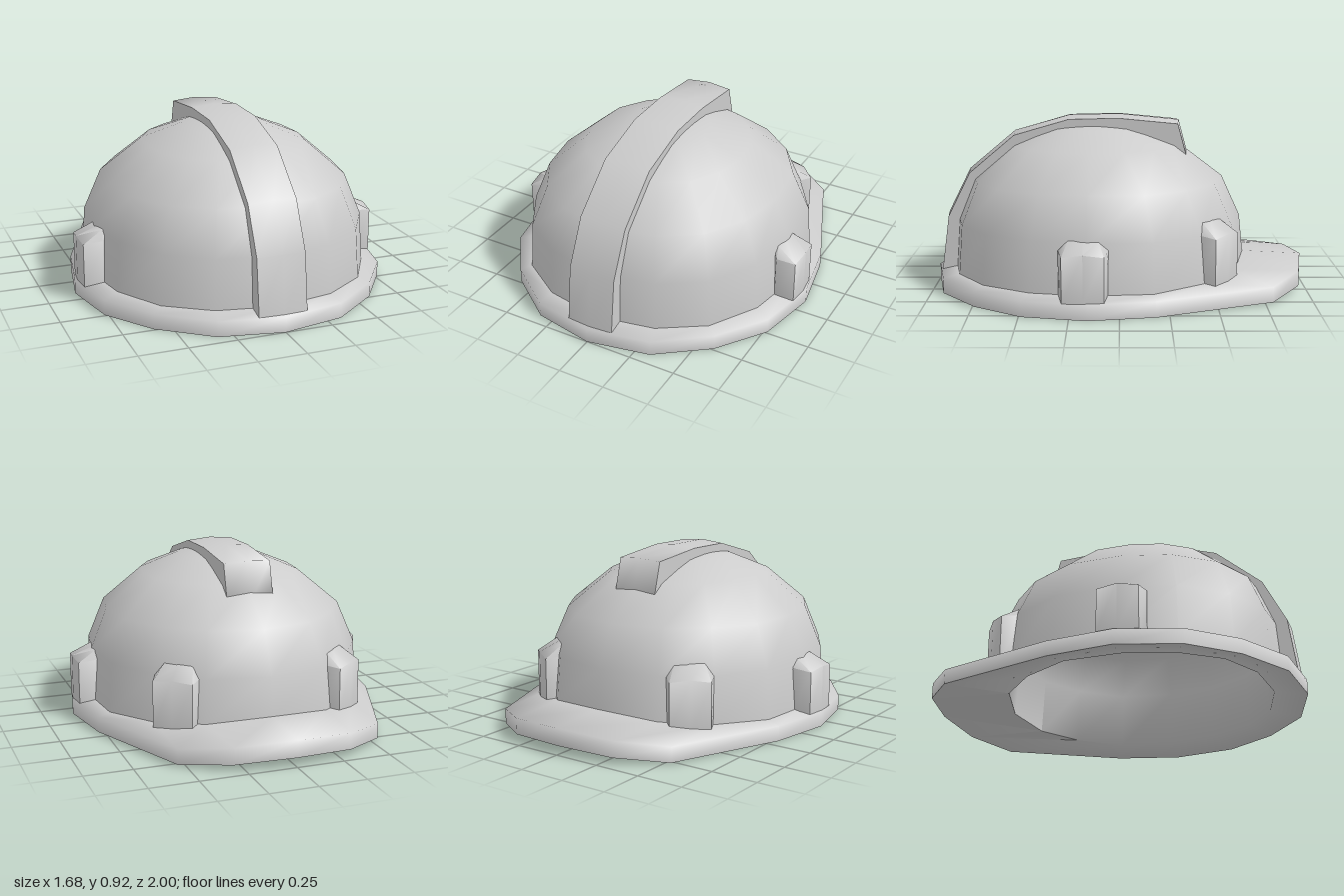
import * as THREE from 'three';
import { toCreasedNormals } from 'three/addons/utils/BufferGeometryUtils.js';

const shellGrey = new THREE.MeshStandardMaterial({ color: 0xcccccc, side: THREE.DoubleSide });
shellGrey.name = 'shell grey';

// Skin a list of rings; rings run front -> left -> back, so rising rings face outward
function loft(rings, crease, { closed = true, capStart = false, capEnd = false } = {}) {
  const pos = [];
  const tri = (a, b, c) => {
    const area = b.clone().sub(a).cross(c.clone().sub(a)).length();
    if (area > 1e-8) for (const p of [a, b, c]) pos.push(p.x, p.y, p.z);
  };
  const n = rings[0].length;
  for (let i = 0; i < rings.length - 1; i++) {
    for (let j = 0; j < (closed ? n : n - 1); j++) {
      const k = (j + 1) % n;
      const [a, b, c, d] = [rings[i][j], rings[i][k], rings[i + 1][k], rings[i + 1][j]];
      tri(a, b, c);
      tri(a, c, d);
    }
  }
  const first = rings[0], last = rings[rings.length - 1];
  for (let j = 1; j < n - 1; j++) {
    if (capStart) tri(first[0], first[j + 1], first[j]);
    if (capEnd) tri(last[0], last[j], last[j + 1]);
  }
  const g = new THREE.BufferGeometry();
  g.setAttribute('position', new THREE.Float32BufferAttribute(pos, 3));
  return toCreasedNormals(g, crease);
}

// Half outlines (x, z) from front centre to back centre, with a height per point
const brimHalf = [[0, 1], [0.33, 0.935], [0.59, 0.74], [0.77, 0.49], [0.84, 0.16], [0.78, -0.18], [0.54, -0.79], [0.31, -0.95], [0, -1]];
const domeHalf = [[0, 0.91], [0.31, 0.85], [0.54, 0.7], [0.69, 0.45], [0.745, 0.16], [0.715, -0.17], [0.55, -0.43], [0.33, -0.61], [0, -0.68]];
const brimTop = [0.08, 0.08, 0.08, 0.08, 0.08, 0.08, 0.09, 0.12, 0.14];
const brimBottom = [0, 0, 0, 0, 0, 0, 0.01, 0.035, 0.05];
const domeFoot = [0.1, 0.1, 0.1, 0.1, 0.1, 0.1, 0.11, 0.13, 0.155];
const CZ = 0.16;

// Mirror a half outline into a full ring, scaled about the dome axis
function ring(half, y, s = 1) {
  const pts = half.map(([x, z], i) => new THREE.Vector3(x * s, Array.isArray(y) ? y[i] : y, CZ + (z - CZ) * s));
  const mirrored = pts.slice(1, -1).reverse().map((p) => new THREE.Vector3(-p.x, p.y, p.z));
  return [...pts, ...mirrored];
}

const domeSteps = [[0.975, 0.36], [0.855, 0.58], [0.57, 0.762], [0.29, 0.85], [0, 0.885]];

// Raised lug: rounded post with its foot in the dome and a roof sloping outward
function lugGeometry(bottom, shoulder, peak) {
  const plan = [[0, 0.1], [0.105, 0.088], [0.125, -0.01], [0.075, -0.05], [-0.075, -0.05], [-0.125, -0.01], [-0.105, 0.088]];
  const roof = [shoulder, shoulder - 0.015, shoulder, peak, peak, shoulder, shoulder - 0.015];
  const foot = plan.map(([x, z]) => new THREE.Vector3(x, bottom, z));
  const top = plan.map(([x, z], i) => new THREE.Vector3(x, roof[i], z));
  const ridge = plan.map(([x]) => new THREE.Vector3(THREE.MathUtils.clamp(x, -0.075, 0.075), peak, -0.02));
  return loft([foot, top, ridge], 1.2, { capStart: true });
}

export function createModel() {
  const model = new THREE.Group();
  model.name = 'hardHat';
  const add = (name, geometry) => {
    const mesh = new THREE.Mesh(geometry, shellGrey);
    mesh.name = name;
    model.add(mesh);
    return mesh;
  };

  // Outer dome
  add('dome', loft([ring(domeHalf, domeFoot), ...domeSteps.map(([s, y]) => ring(domeHalf, y, s))], 0.7));

  // Brim: outer wall with a softly shaded sloping top
  const bottomEdge = ring(brimHalf, brimBottom);
  add('brim', loft([bottomEdge, ring(brimHalf, brimTop), ring(domeHalf, domeFoot)], 2));

  // Thick-walled hollow, running smoothly into the underside of the brim
  const inside = domeSteps.map(([s, y]) => ring(domeHalf, y * 0.91, s * 0.89)).reverse();
  add('lining', loft([...inside, ring(domeHalf, 0.03, 0.89), bottomEdge], 1.5));

  // Crest over the top: section swept along (z, y) outer points with matching points in the dome
  const crestPath = [
    [0.98, 0.08, 0.87, 0.08], [0.94, 0.38, 0.85, 0.34], [0.82, 0.62, 0.755, 0.565], [0.57, 0.83, 0.555, 0.75],
    [0.27, 0.915, 0.3, 0.825], [0, 0.92, 0.05, 0.835], [-0.32, 0.888, -0.2, 0.765], [-0.375, 0.685, -0.36, 0.67],
  ];
  const crestRings = crestPath.map(([z, y, zi, yi]) => {
    const len = Math.hypot(z - zi, y - yi);
    const ez = z - ((z - zi) / len) * 0.013, ey = y - ((y - yi) / len) * 0.013;
    return [[-0.128, yi, zi], [-0.128, ey, ez], [0, y, z], [0.128, ey, ez], [0.128, yi, zi]]
      .map((p) => new THREE.Vector3(...p));
  });
  add('crest', loft(crestRings, 1.35, { closed: false, capStart: true, capEnd: true }));

  // Lugs at the sides and beside the visor
  for (const s of [1, -1]) {
    const side = s > 0 ? 'left' : 'right';
    const sideLug = add(side + 'SideLug', lugGeometry(0.08, 0.325, 0.37));
    sideLug.position.set(s * 0.73, 0, 0.18);
    sideLug.rotation.y = s * Math.PI / 2;
    const visorLug = add(side + 'VisorLug', lugGeometry(0.09, 0.36, 0.42));
    visorLug.position.set(s * 0.435, 0, -0.48);
    visorLug.rotation.y = Math.atan2(s * 0.6, -0.8);
  }
  return model;
}
